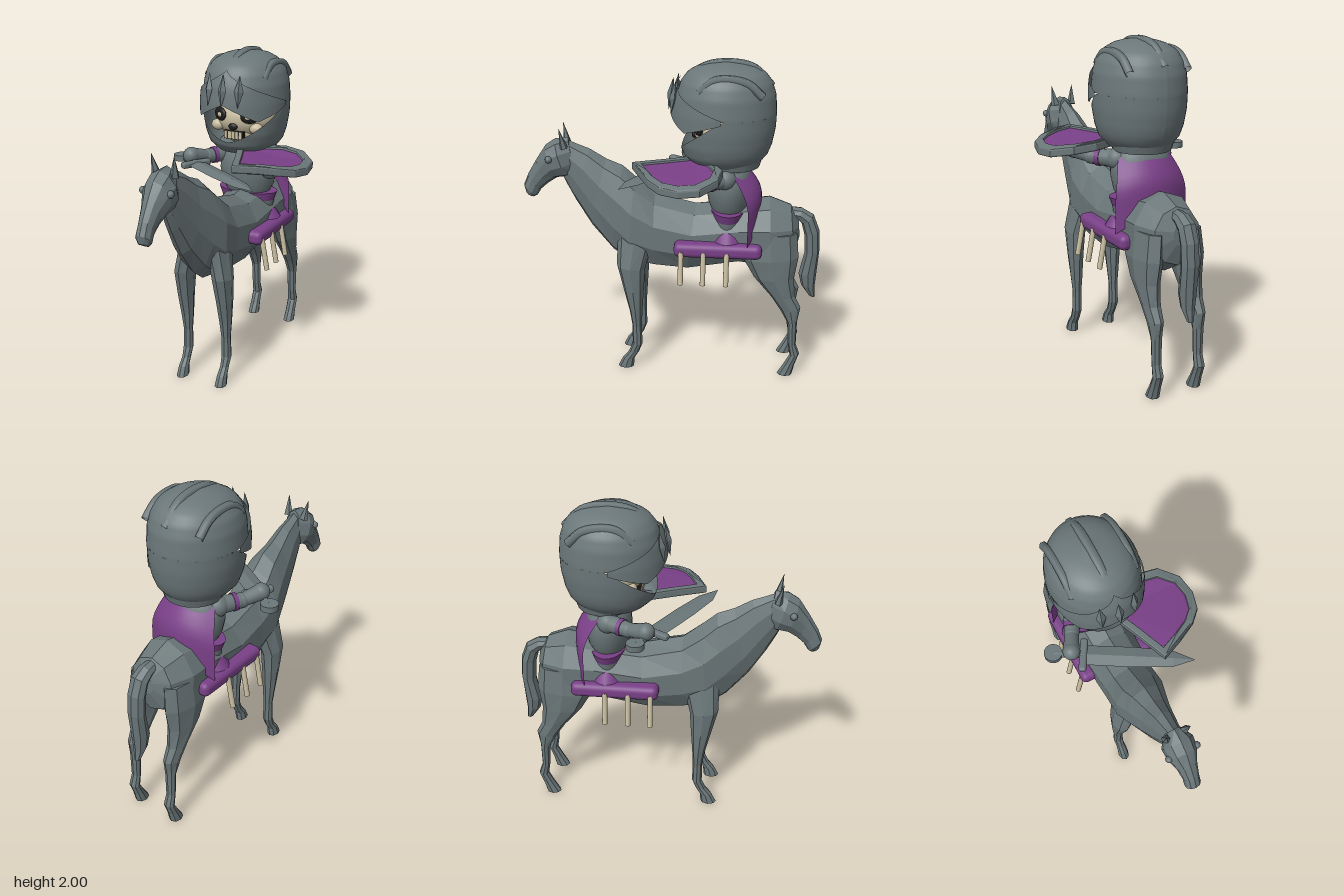
import * as THREE from 'three';
import { RoundedBoxGeometry } from 'three/addons/geometries/RoundedBoxGeometry.js';

const material = (name, color) => new THREE.MeshStandardMaterial({ name, color, side: THREE.DoubleSide });
const steel = material('steel grey', 0x6b7779);
const purple = material('purple cloth', 0x7a4088);
const bone = material('bone', 0xc8bda0);
const black = material('black', 0x1d1d1d);

const V = (x, y, z) => new THREE.Vector3(x, y, z);

function add(parent, name, geometry, mat, pos = [0, 0, 0], scale = [1, 1, 1]) {
  const mesh = new THREE.Mesh(geometry, mat);
  mesh.name = name;
  mesh.position.set(...pos);
  mesh.scale.set(...scale);
  parent.add(mesh);
  return mesh;
}

// Surface through a grid of points f(u, v), u and v from 0 to 1
function surface(nu, nv, f, flat = false) {
  const pos = [], index = [];
  for (let j = 0; j <= nv; j++) for (let i = 0; i <= nu; i++) pos.push(...f(i / nu, j / nv));
  for (let j = 0; j < nv; j++) for (let i = 0; i < nu; i++) {
    const a = j * (nu + 1) + i, b = a + nu + 1;
    index.push(a, a + 1, b, a + 1, b + 1, b);
  }
  let g = new THREE.BufferGeometry();
  g.setAttribute('position', new THREE.Float32BufferAttribute(pos, 3));
  g.setIndex(index);
  if (flat) g = g.toNonIndexed();
  g.computeVertexNormals();
  return g;
}

// Faceted loft; each section is [zA, yA, zB, yB, halfWidth, x] with A and B on the side outline
function loft(sections, sides = 10) {
  const point = ([za, ya, zb, yb]) => [(za + zb) / 2, (ya + yb) / 2, (za + zb) / 2, (ya + yb) / 2, 0];
  const cap = s => [...point(s), s[5]];
  const rings = [cap(sections[0]), ...sections, cap(sections.at(-1))];
  return surface(sides, rings.length - 1, (u, v) => {
    const [za, ya, zb, yb, w, x = 0] = rings[Math.round(v * (rings.length - 1))];
    const c = Math.cos(u * Math.PI * 2) / 2, s = Math.sin(u * Math.PI * 2);
    return [x + s * w, (ya + yb) / 2 + c * (ya - yb), (za + zb) / 2 + c * (za - zb)];
  }, true);
}

// Rod between two points
function rod(parent, name, a, b, r0, r1, mat) {
  const mesh = add(parent, name, new THREE.CylinderGeometry(r1, r0, a.distanceTo(b), 14), mat);
  mesh.position.copy(a).lerp(b, 0.5);
  mesh.quaternion.setFromUnitVectors(V(0, 1, 0), b.clone().sub(a).normalize());
  return mesh;
}

function buildHorse(root) {
  const horse = new THREE.Group();
  horse.name = 'horse';
  root.add(horse);
  add(horse, 'bodyAndNeck', loft([
    [-.78, 1.03, -.79, .9, .05], [-.73, 1.11, -.76, .78, .15], [-.6, 1.16, -.62, .7, .205],
    [-.42, 1.13, -.42, .73, .195], [-.15, 1.1, -.1, .665, .18], [.1, 1.16, .1, .67, .165],
    [.22, 1.26, .26, .69, .165], [.3, 1.33, .37, .77, .135], [.4, 1.37, .5, .93, .1],
    [.5, 1.43, .6, 1.1, .075], [.58, 1.46, .65, 1.2, .06], [.65, 1.49, .68, 1.27, .05]]), steel);
  add(horse, 'head', loft([
    [.63, 1.5, .58, 1.27, .05], [.71, 1.49, .64, 1.25, .095], [.77, 1.45, .71, 1.24, .09],
    [.83, 1.36, .77, 1.2, .06], [.89, 1.26, .815, 1.16, .047], [.92, 1.19, .84, 1.12, .048],
    [.91, 1.14, .86, 1.11, .03]]), steel);
  add(horse, 'tail', loft([
    [-.71, 1.1, -.73, 1.02, .04], [-.8, 1.09, -.77, 1.02, .05], [-.87, 1.05, -.8, .99, .055],
    [-.91, .95, -.82, .92, .055], [-.92, .82, -.83, .8, .055], [-.91, .65, -.8, .65, .05],
    [-.905, .56, -.82, .57, .04], [-.91, .49, -.87, .5, .02]], 8), steel);
  for (const s of [-1, 1]) {
    add(horse, 'frontLeg', loft([
      [.33, .92, .1, .9, .06, s * .09], [.33, .72, .155, .7, .06, s * .13], [.29, .55, .165, .55, .05, s * .135],
      [.255, .4, .175, .4, .04, s * .135], [.24, .3, .18, .3, .03, s * .135], [.24, .17, .177, .17, .033, s * .137],
      [.265, .11, .2, .11, .028, s * .137], [.305, .06, .23, .06, .032, s * .137],
      [.335, 0, .235, 0, .036, s * .137]], 8), steel);
    add(horse, 'hindLeg', loft([
      [-.46, .97, -.77, .97, .07, s * .12], [-.45, .8, -.785, .82, .075, s * .135], [-.52, .68, -.765, .68, .065, s * .14],
      [-.63, .55, -.775, .56, .05, s * .14], [-.69, .46, -.815, .48, .042, s * .14],
      [-.74, .37, -.8, .38, .034, s * .14], [-.75, .22, -.8, .22, .03, s * .14], [-.765, .14, -.825, .15, .034, s * .14],
      [-.73, .07, -.8, .07, .034, s * .14], [-.69, 0, -.785, 0, .038, s * .14]], 8), steel);
    const ear = add(horse, 'ear', new THREE.ConeGeometry(.03, .13, 5).toNonIndexed(), steel, [s * .065, 1.51, .66], [1, 1, .8]);
    ear.geometry.computeVertexNormals();
    ear.rotation.set(.2, 0, -s * .12);
    add(horse, 'horseEye', new THREE.SphereGeometry(.022, 8, 6), steel, [s * .087, 1.38, .74]);
    // Padded saddle roll with hanging pegs
    add(horse, 'saddleRoll', new RoundedBoxGeometry(.11, .09, .53, 3, .035), purple, [s * .19, .875, -.295]);
    for (const z of [-.075, -.21, -.35])
      rod(horse, 'peg', V(s * .235, .87, z), V(s * .272, .67, z), .016, .016, bone);
  }
}

// Helmet wall: radius factor by height
const profile = [[1.38, .66], [1.43, .84], [1.5, .93], [1.6, .99], [1.7, 1], [1.8, .97], [1.87, .89],
  [1.92, .76], [1.955, .55], [1.975, .3], [1.985, 0]];
function radius(y) {
  const i = Math.max(1, profile.findIndex(p => p[0] >= y - 1e-6));
  const [y0, r0] = profile[i - 1], [y1, r1] = profile[i];
  return THREE.MathUtils.lerp(r0, r1, (y - y0) / (y1 - y0));
}
function helmetPatch(span, lower, upper, nu, nv, puff = () => 1) {
  return surface(nu, nv, (u, v) => {
    const a = (u * 2 - 1) * span, y = THREE.MathUtils.lerp(lower(a), upper(a), v);
    const r = radius(y) * puff(a, v);
    return [Math.sin(a) * r * .265, y, -.32 + Math.cos(a) * r * .298];
  });
}

function buildHead(root) {
  const head = new THREE.Group();
  head.name = 'riderHead';
  root.add(head);
  const open = 1.5;
  add(head, 'helmetLower', helmetPatch(Math.PI, () => 1.38,
    a => Math.min(1.69, 1.46 + .23 * (Math.abs(a) / open) ** 1.5), 56, 10), steel);
  add(head, 'helmetDome', helmetPatch(Math.PI, () => 1.69, () => 1.985, 40, 20), steel);
  // Visor with arched lower edge and pointed brow
  add(head, 'visor', helmetPatch(open, a => {
    const t = Math.abs(a);
    return t < .75 ? 1.7 - .1 * t / .75 : 1.6 + .07 * (t - .75) / .75;
  }, a => 1.9 - .2 * (Math.abs(a) / open) ** .8, 40, 8, (a, v) => 1.03 + .07 * Math.cos(a) * (1 - v * .3)), steel);
  for (const x of [-.1, 0, .1]) {
    const rib = add(head, 'visorRib', new THREE.OctahedronGeometry(1).toNonIndexed(), steel,
      [x, 1.785, .005 - x * x * 2.2], [.028, .1, .022]);
    rib.rotation.set(-.15, x * 3, 0);
  }
  // Crest strips over the dome
  const strip = (name, x, pts, r) => add(head, name, new THREE.TubeGeometry(
    new THREE.CatmullRomCurve3(pts.map(([z, y]) => V(x, y, z))), 20, r, 6), steel);
  strip('centreCrest', 0, [[-.1, 1.87], [-.19, 1.945], [-.32, 1.97], [-.47, 1.945], [-.58, 1.84]], .03);
  for (const s of [-1, 1])
    strip('sideCrest', s * .185, [[-.17, 1.84], [-.25, 1.905], [-.35, 1.915], [-.45, 1.89], [-.53, 1.82]], .026);
  add(head, 'collar', new THREE.CylinderGeometry(.185, .17, .05, 28), steel, [0, 1.385, -.36]);

  // Skull face
  const ball = new THREE.SphereGeometry(1, 24, 16);
  add(head, 'skull', ball, bone, [0, 1.58, -.33], [.2, .15, .2]);
  add(head, 'jaw', ball, bone, [0, 1.49, -.29], [.13, .08, .14]);
  add(head, 'nose', ball, black, [0, 1.54, -.135], [.03, .022, .015]);
  add(head, 'mouth', new THREE.BoxGeometry(.13, .05, .03), black, [0, 1.485, -.155]);
  for (let i = -2; i <= 2; i++)
    add(head, 'tooth', new THREE.BoxGeometry(.02, .045, .02), bone, [i * .025, 1.487, -.145]);
  for (const s of [-1, 1]) {
    const socket = add(head, 'eyeSocket', ball, black, [s * .1, 1.605, -.163], [.057, .042, .018]);
    socket.rotation.y = s * .5;
    add(head, 'eye', ball, bone, [s * .088, 1.605, -.147], [.026, .017, .012]);
    add(head, 'cheek', ball, bone, [s * .13, 1.53, -.19], [.045, .035, .035]);
  }
}

function buildRider(root) {
  const rider = new THREE.Group();
  rider.name = 'riderBody';
  root.add(rider);
  const torso = [[.1, 1.07], [.125, 1.13], [.14, 1.22], [.137, 1.29], [.115, 1.35], [.07, 1.4]];
  add(rider, 'torso', new THREE.LatheGeometry(torso.map(p => new THREE.Vector2(...p)), 28), steel, [0, 0, -.35], [1.35, 1, 1]);
  const band = (name, r0, r1, y0, y1, mat) => add(rider, name,
    new THREE.CylinderGeometry(r1, r0, y1 - y0, 28), mat, [0, (y0 + y1) / 2, -.35], [1.8, 1, 1]);
  band('belt', .1, .112, 1.035, 1.09, purple);
  band('waistBand', .095, .1, .985, 1.035, steel);
  band('skirt', .125, .1, .92, .985, purple);
  // Cape wrapped round the back
  add(rider, 'cape', surface(14, 10, (u, v) => {
    const s = u * 2 - 1, w = .15 + .085 * Math.sin(Math.min(1, v * 1.6) * Math.PI / 2);
    return [s * w, 1.37 - v * (.36 + .1 * s * s), -.43 - .12 * Math.sin(Math.min(1, v * 1.8) * Math.PI / 2) + .08 * s * s];
  }), purple);
}

function buildArm(root, name, joints) {
  const arm = new THREE.Group();
  arm.name = name;
  root.add(arm);
  const [shoulder, elbow, hand] = joints.map(p => V(...p));
  rod(arm, 'upperArm', shoulder, elbow, .055, .045, steel);
  rod(arm, 'forearm', elbow, hand, .04, .05, steel);
  rod(arm, 'armBand', shoulder.clone().lerp(elbow, .6), shoulder.clone().lerp(elbow, .78), .054, .052, purple);
  for (const [n, p, r] of [['shoulder', shoulder, .065], ['elbow', elbow, .046], ['hand', hand, .052]])
    add(arm, n, new THREE.SphereGeometry(r, 16, 12), steel, p.toArray());
}

function buildSword(root) {
  const sword = new THREE.Group();
  sword.name = 'sword';
  sword.position.set(-.27, 1.3, -.05);
  sword.rotation.y = -.534;
  root.add(sword);
  // Diamond-section blade
  add(sword, 'blade', surface(4, 3, (u, v) => {
    const k = Math.round(v * 3), w = [.06, .062, .05, 0][k], c = u * Math.PI * 2;
    return [[0, .3, .52, .65][k], Math.sin(c) * w * .25, Math.cos(c) * w];
  }, true), steel);
  add(sword, 'guard', new RoundedBoxGeometry(.045, .04, .2, 2, .015), steel);
  rod(sword, 'grip', V(-.17, 0, 0), V(0, 0, 0), .02, .02, steel);
  add(sword, 'pommel', new THREE.CylinderGeometry(.053, .053, .036, 20), steel, [-.175, 0, 0]);
}

function buildShield(root) {
  const shield = new THREE.Group();
  shield.name = 'shield';
  root.add(shield);
  const outline = [[.12, .22], [.25, .165], [.37, .1], [.44, .03], [.47, -.08], [.45, -.2], [.35, -.3], [.22, -.32],
    [.08, -.26], [-.05, -.19], [.04, .02]];
  const ring = k => outline.map(([x, z]) => new THREE.Vector2(.22 + (x - .22) * k, -(-.06 + (z + .06) * k)));
  const plate = (name, shape, y, depth, mat, bevel) => {
    const g = new THREE.ExtrudeGeometry(shape, { depth, bevelEnabled: bevel, bevelSize: .008, bevelThickness: .01, bevelSegments: 2, bevelOffset: -.008 });
    g.rotateX(-Math.PI / 2);
    // Bow the plate down towards its rounded end
    const p = g.attributes.position;
    for (let i = 0; i < p.count; i++) p.setY(i, p.getY(i) + y - .6 * Math.max(0, p.getX(i) - .2) ** 2);
    g.computeVertexNormals();
    add(shield, name, g, mat);
  };
  const rim = new THREE.Shape(ring(1));
  rim.holes.push(new THREE.Path(ring(.78)));
  plate('shieldRim', rim, 1.375, .03, steel, true);
  plate('shieldBack', new THREE.Shape(ring(.9)), 1.37, .012, steel, false);
  plate('shieldPanel', new THREE.Shape(ring(.8)), 1.395, .006, purple, false);
}

export function createModel() {
  const model = new THREE.Group();
  model.name = 'mountedKnight';
  // Horse and rider share a symmetry plane left of the model centre
  const pair = new THREE.Group();
  pair.name = 'horseAndRider';
  pair.position.x = -.055;
  model.add(pair);
  buildHorse(pair);
  buildRider(pair);
  buildHead(pair);
  buildArm(model, 'rightArm', [[-.2, 1.31, -.33], [-.27, 1.31, -.2], [-.325, 1.335, -.09]]);
  buildArm(model, 'leftArm', [[.09, 1.31, -.33], [.19, 1.31, -.2], [.23, 1.325, -.06]]);
  buildSword(model);
  buildShield(model);
  return model;
}
